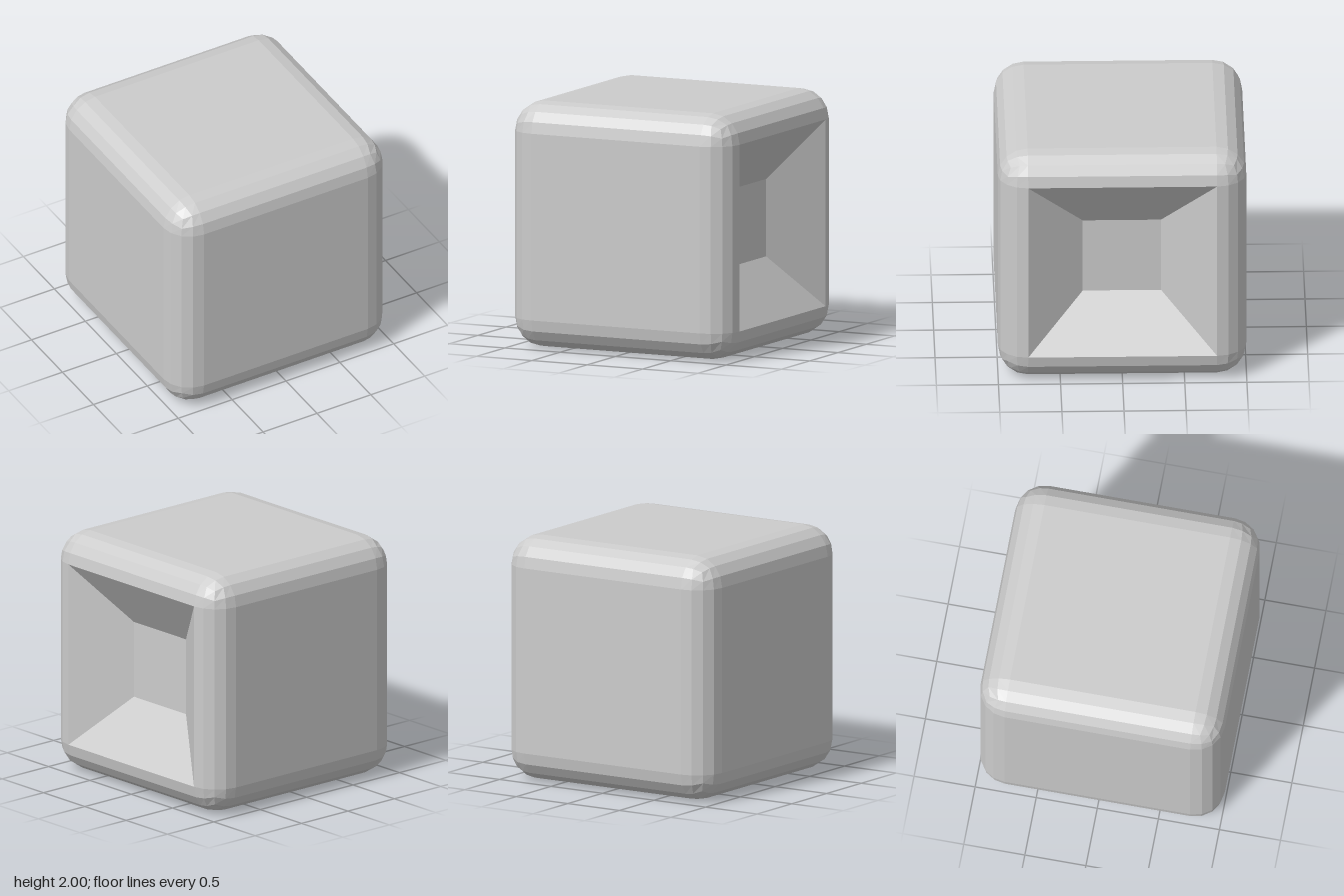
import * as THREE from 'three';

const CORE = 0.76;    // half size of each flat face
const RADIUS = 0.24;  // edge rounding
const FLOOR = 0.315;  // half size of the recess floor
const DEPTH = 0.31;   // recess depth

// Cube with edges rounded in four facets; the flat panel on +x is left open.
function roundedShell() {
  const geo = new THREE.BoxGeometry(1, 1, 1, 5, 5, 5);
  const pos = geo.attributes.position;
  const dir = new THREE.Vector3();
  for (let i = 0; i < pos.count; i++) {
    const core = [0, 0, 0], d = [0, 0, 0];
    [pos.getX(i), pos.getY(i), pos.getZ(i)].forEach((p, a) => {
      const k = Math.round(p * 5 + 2.5);          // grid line 0..5
      const step = k < 3 ? k - 2 : k - 3;         // facet steps away from the flat panel
      core[a] = k < 3 ? -CORE : CORE;
      d[a] = Math.tan(step * Math.PI / 8);
    });
    dir.fromArray(d).normalize().multiplyScalar(RADIUS);
    pos.setXYZ(i, core[0] + dir.x, core[1] + dir.y, core[2] + dir.z);
  }
  // The +x side comes first; drop its middle cell (number 12 of 25)
  const index = Array.from(geo.index.array);
  index.splice(12 * 6, 6);
  geo.setIndex(index);
  geo.clearGroups();
  geo.computeVertexNormals();
  return geo;
}

export function createModel() {
  const group = new THREE.Group();
  const grey = new THREE.MeshStandardMaterial({ color: 0xcccccc, flatShading: true });
  const inside = new THREE.MeshStandardMaterial({ color: 0xcccccc, flatShading: true, side: THREE.DoubleSide });

  const add = (name, geo, material, x = 0) => {
    const mesh = new THREE.Mesh(geo, material);
    mesh.name = name;
    mesh.position.set(x, 1, 0);
    group.add(mesh);
  };

  add('roundedShell', roundedShell(), grey);

  // Four sloping walls of the recess
  const walls = new THREE.CylinderGeometry(CORE * Math.SQRT2, FLOOR * Math.SQRT2, DEPTH, 4, 1, true);
  walls.rotateY(Math.PI / 4).rotateZ(-Math.PI / 2);
  add('recessWalls', walls, inside, 1 - DEPTH / 2);

  // Square floor of the recess
  const floor = new THREE.PlaneGeometry(FLOOR * 2, FLOOR * 2).rotateY(Math.PI / 2);
  add('recessFloor', floor, inside, 1 - DEPTH);

  return group;
}
